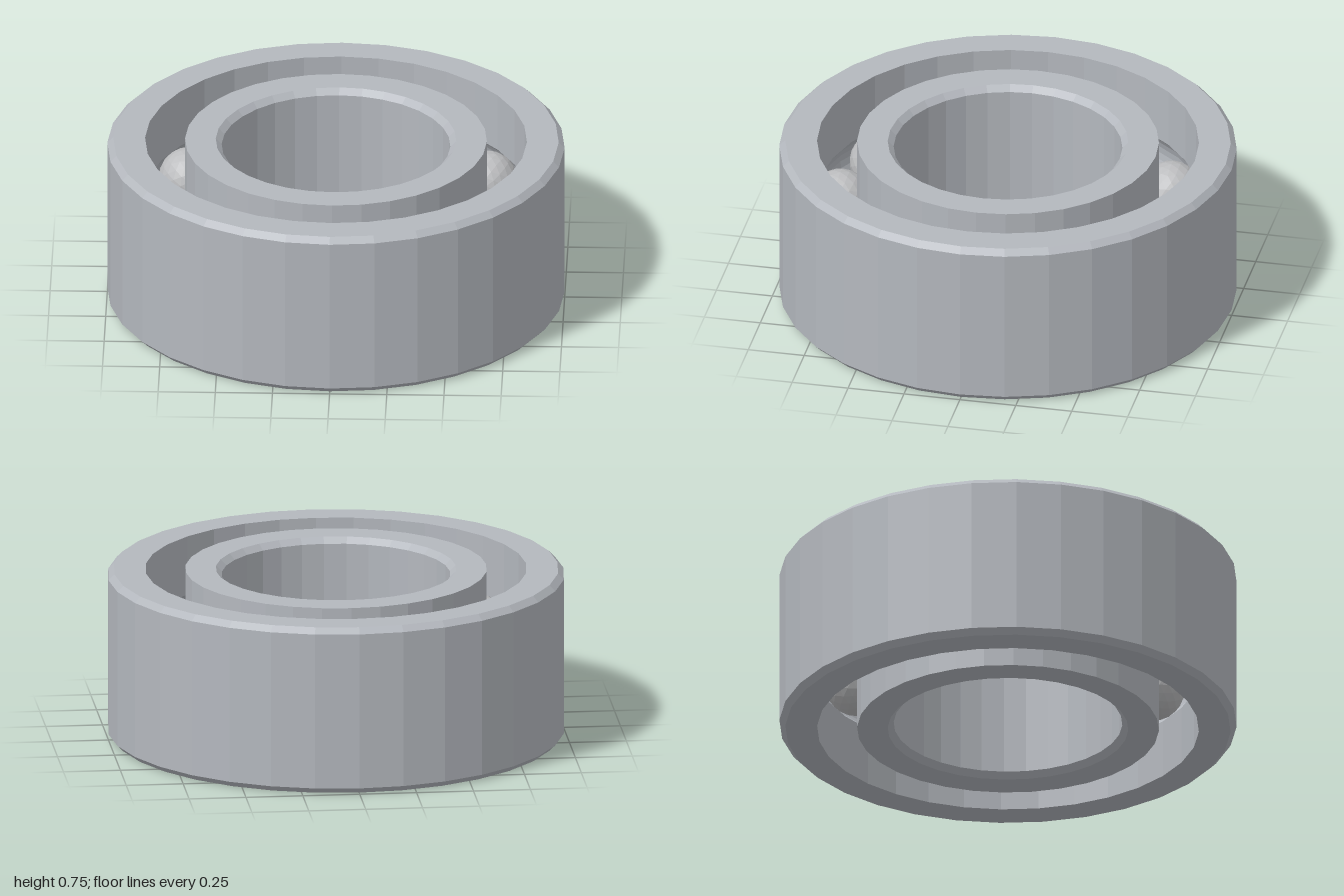
import * as THREE from 'three';

const HEIGHT = 0.75, MID = HEIGHT / 2, CHAMFER = 0.026;
const PITCH = 0.75, BALL_RADIUS = 0.137, GROOVE_RADIUS = 0.14;
const SIDES = 32, BALLS = 12;

// Faceted look: unshared vertices with face normals
function faceted(geometry) {
  const flat = geometry.index ? geometry.toNonIndexed() : geometry;
  flat.computeVertexNormals();
  return flat;
}

// Arc of the ball groove cut into a wall at the given radius, bottom to top
function groove(wall) {
  const side = Math.sign(wall - PITCH);
  const half = Math.acos(Math.abs(wall - PITCH) / GROOVE_RADIUS);
  const points = [];
  for (let i = 0; i <= 8; i++) {
    const a = -half + (2 * half * i) / 8;
    points.push([PITCH + side * GROOVE_RADIUS * Math.cos(a), MID + GROOVE_RADIUS * Math.sin(a)]);
  }
  return points;
}

// Revolve a closed profile, listed counterclockwise in (radius, height)
function ring(name, profile, material) {
  const points = [...profile, profile[0]].map(([r, y]) => new THREE.Vector2(r, y));
  const mesh = new THREE.Mesh(faceted(new THREE.LatheGeometry(points, SIDES)), material);
  mesh.name = name;
  return mesh;
}

export function createModel() {
  const model = new THREE.Group();
  model.name = 'ballBearing';

  const ringSteel = new THREE.MeshStandardMaterial({ color: 0xb4b8be });
  ringSteel.name = 'ringSteel';
  const ballSteel = new THREE.MeshStandardMaterial({ color: 0xbcbdbf });
  ballSteel.name = 'ballSteel';

  // Outer ring: chamfered outside, grooved inside
  const outerWall = 0.835;
  model.add(ring('outerRing', [
    [outerWall, 0], [1 - CHAMFER, 0], [1, CHAMFER],
    [1, HEIGHT - CHAMFER], [1 - CHAMFER, HEIGHT], [outerWall, HEIGHT],
    ...groove(outerWall).reverse(),
  ], ringSteel));

  // Inner ring: grooved outside, chamfered bore
  const innerWall = 0.66, bore = 0.5;
  model.add(ring('innerRing', [
    [bore + CHAMFER, 0], [innerWall, 0],
    ...groove(innerWall),
    [innerWall, HEIGHT], [bore + CHAMFER, HEIGHT],
    [bore, HEIGHT - CHAMFER], [bore, CHAMFER],
  ], ringSteel));

  // Balls spaced evenly around the race
  const balls = new THREE.Group();
  balls.name = 'balls';
  const ballGeometry = faceted(new THREE.IcosahedronGeometry(BALL_RADIUS, 3));
  for (let i = 0; i < BALLS; i++) {
    const a = (i / BALLS) * Math.PI * 2;
    const ball = new THREE.Mesh(ballGeometry, ballSteel);
    ball.name = 'ball';
    ball.position.set(PITCH * Math.cos(a), MID, PITCH * Math.sin(a));
    balls.add(ball);
  }
  model.add(balls);

  return model;
}
